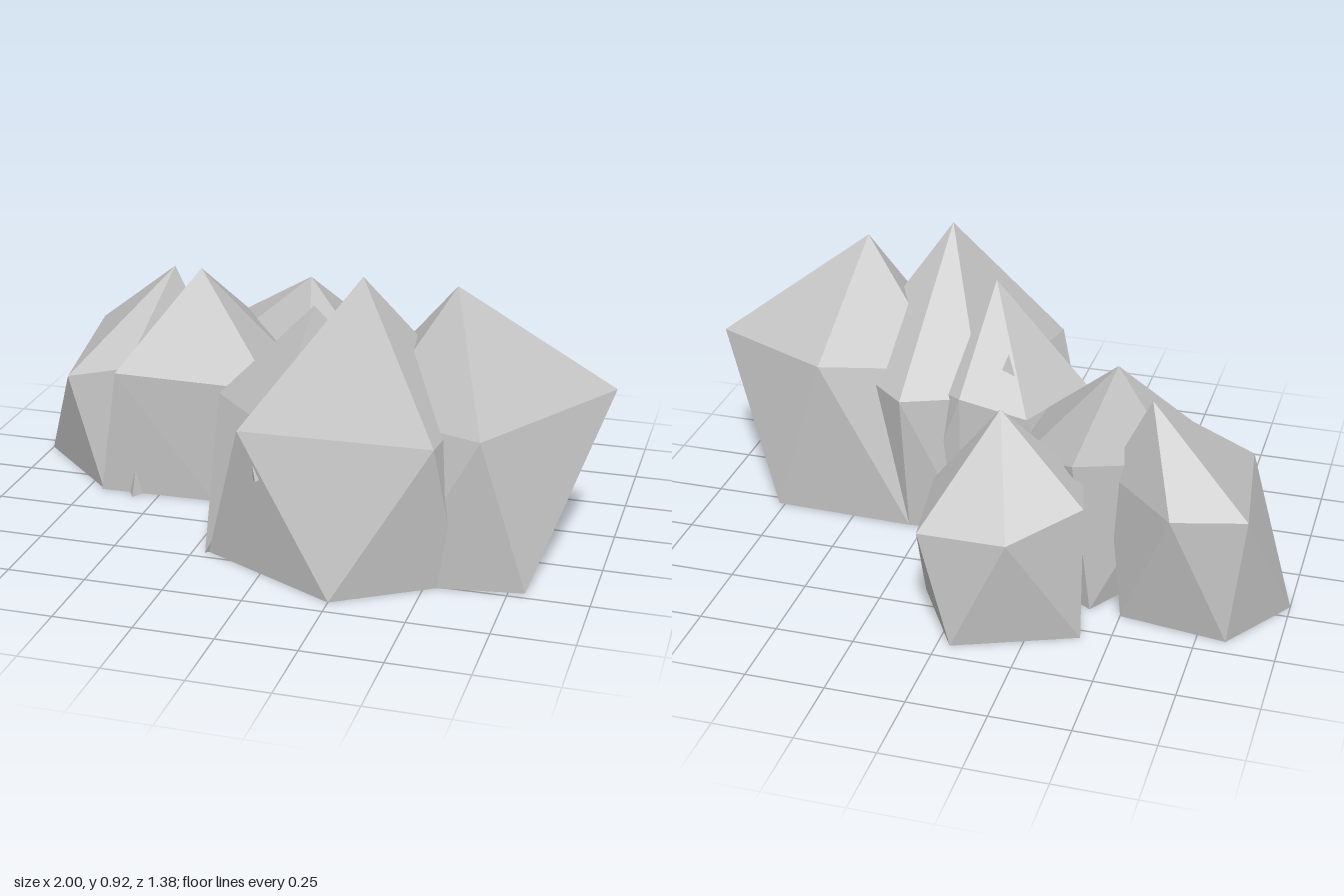
import * as THREE from 'three';
import { ConvexGeometry } from 'three/addons/geometries/ConvexGeometry.js';

export function createModel() {
  const model = new THREE.Group();
  model.name = 'rockCluster';
  const stone = new THREE.MeshStandardMaterial({ color: 0xc4c4c4 });
  stone.name = 'stoneGrey';

  const addPart = (name, geometry) => {
    const mesh = new THREE.Mesh(geometry, stone);
    mesh.name = name;
    model.add(mesh);
    return mesh;
  };

  // Faceted boulder: a peak above a ring of shoulder corners [x, z] and a ring of
  // ground corners [x, z]. A shoulder corner may give its own height as a third value.
  const addRock = (name, peak, shoulderHeight, shoulder, ground) => {
    const points = [
      new THREE.Vector3(...peak),
      ...shoulder.map(([x, z, y = shoulderHeight]) => new THREE.Vector3(x, y, z)),
      ...ground.map(([x, z]) => new THREE.Vector3(x, 0, z)),
    ];
    addPart(name, new ConvexGeometry(points));
  };

  // Front group
  addRock('frontTallRock', [0.27, 0.92, 0.385], 0.475,
    [[-0.06, 0.595], [0.535, 0.575], [0.58, 0.15], [0.315, -0.08], [0.07, 0.02]],
    [[0.25, 0.69], [0.6, 0.47], [0.3, -0.05], [0.1, -0.03], [-0.2, 0.46]]);
  addRock('leftTallRock', [0.535, 0.885, 0.29], 0.55,
    [[0.66, 0.52, 0.49], [1, 0.13], [0.6, -0.055], [0.22, 0.14, 0.5], [0.3, 0.42, 0.5]],
    [[0.8, 0.47], [0.77, -0.035], [0.3, -0.05], [0.4, 0.53]]);
  addRock('middleRock', [0.09, 0.78, 0.28], 0.45,
    [[-0.23, 0.25], [-0.1, -0.04], [0.12, -0.055, 0.5], [0.33, 0.14], [0.02, 0.5]],
    [[-0.21, 0.47], [-0.24, 0], [0.12, -0.05], [0.3, 0]]);

  // Back group
  addRock('rightInnerRock', [-0.415, 0.73, -0.13], 0.41,
    [[-0.635, 0.115, 0.425], [-0.105, 0.09], [-0.13, -0.21], [-0.34, -0.4, 0.51], [-0.62, -0.15, 0.43]],
    [[-0.7, 0.1], [-0.31, 0.09], [-0.12, -0.2], [-0.4, -0.38]]);
  addRock('rightOuterRock', [-0.55, 0.69, -0.25], 0.42,
    [[-0.82, 0.07, 0.38], [-0.885, -0.43], [-0.66, -0.49], [-0.42, -0.25], [-0.62, 0.05]],
    [[-1, -0.195], [-0.84, -0.44], [-0.5, -0.39], [-0.7, 0.09]]);
  addRock('backRock', [-0.107, 0.655, -0.365], 0.37,
    [[-0.41, -0.535, 0.45], [-0.21, -0.675], [0.065, -0.675], [0.115, -0.34], [-0.07, -0.2], [-0.36, -0.33, 0.44]],
    [[0.125, -0.41], [-0.04, -0.69], [-0.41, -0.54], [-0.33, -0.25], [-0.06, -0.2]]);

  // Tiny three-sided slivers breaking through the boulder faces
  const shard = new THREE.ConeGeometry(0.05, 0.12, 3).toNonIndexed();
  shard.computeVertexNormals();
  const addShard = (name, x, y, z, tilt) => {
    const mesh = addPart(name, shard);
    mesh.position.set(x, y, z);
    mesh.rotation.z = tilt;
  };
  addShard('frontShard', -0.01, 0.39, 0.58, 0.3);
  addShard('middleShard', -0.01, 0.56, 0.07, 0);
  addShard('groundShard', -0.58, 0.06, 0.085, 0);

  return model;
}
